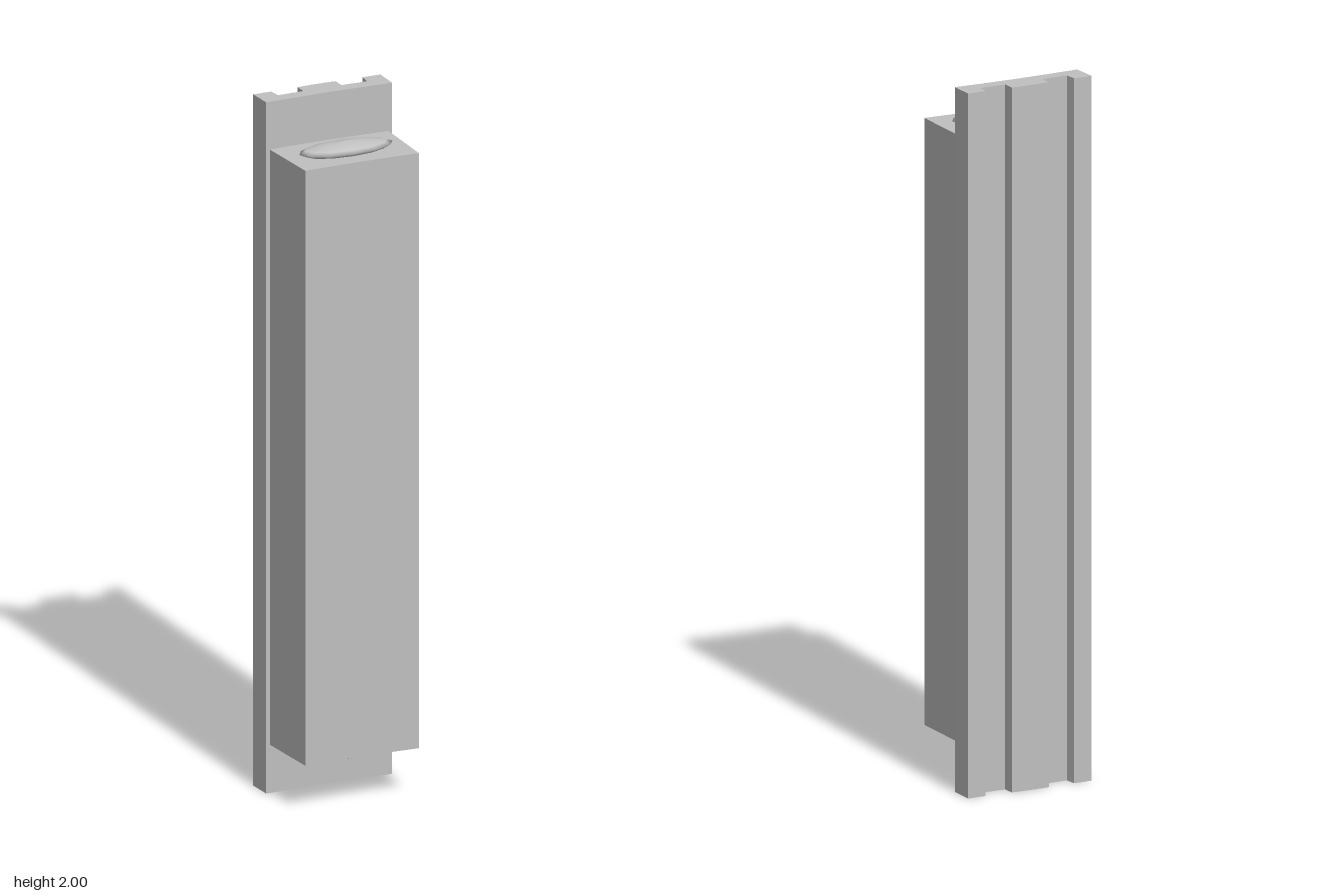
import * as THREE from 'three';

const grey = new THREE.MeshStandardMaterial({ color: 0xc0c0c0 });
grey.name = 'plain grey';

// Extrudes a plan outline upward; half lists [x, z] points of the +x side, back to front
function prism(name, half, y0, y1) {
  const mirrored = half.filter(([x]) => x > 0).map(([x, z]) => [-x, z]).reverse();
  const outline = [...half, ...mirrored].map(([x, z]) => new THREE.Vector2(x, -z));
  const geometry = new THREE.ExtrudeGeometry(new THREE.Shape(outline), { depth: y1 - y0, bevelEnabled: false });
  geometry.rotateX(-Math.PI / 2).translate(0, y0, 0);
  const mesh = new THREE.Mesh(geometry, grey);
  mesh.name = name;
  return mesh;
}

export function createModel() {
  const model = new THREE.Group();
  model.name = 'wallColumn';

  // Back plate with two long grooves in its rear
  model.add(prism('backPlate', [
    [0, -0.145], [0.033, -0.1445], [0.058, -0.143], [0.058, -0.106], [0.136, -0.105],
    [0.139, -0.141], [0.194, -0.141], [0.192, -0.063], [0.1, -0.066], [0, -0.068],
  ], 0, 2));

  // Main block, tapering to a slightly hollow front
  model.add(prism('body', [
    [0, -0.068], [0.1, -0.066], [0.181, -0.063], [0.173, 0.143], [0.09, 0.14], [0, 0.139],
  ], 0.14, 1.862));

  // Oval domes on the top and bottom of the block
  const profile = [[0.84, 0], [1, 0.01], [0.88, 0.018], [0.5, 0.027], [0, 0.031]]
    .map(([r, y]) => new THREE.Vector2(r, y));
  const dome = new THREE.LatheGeometry(profile, 12);
  for (const top of [true, false]) {
    const mesh = new THREE.Mesh(dome, grey);
    mesh.name = top ? 'topDome' : 'bottomDome';
    mesh.scale.set(0.142, 1, 0.056);
    mesh.position.set(0, top ? 1.862 : 0.14, 0.041);
    if (!top) mesh.rotation.x = Math.PI;
    model.add(mesh);
  }
  return model;
}
